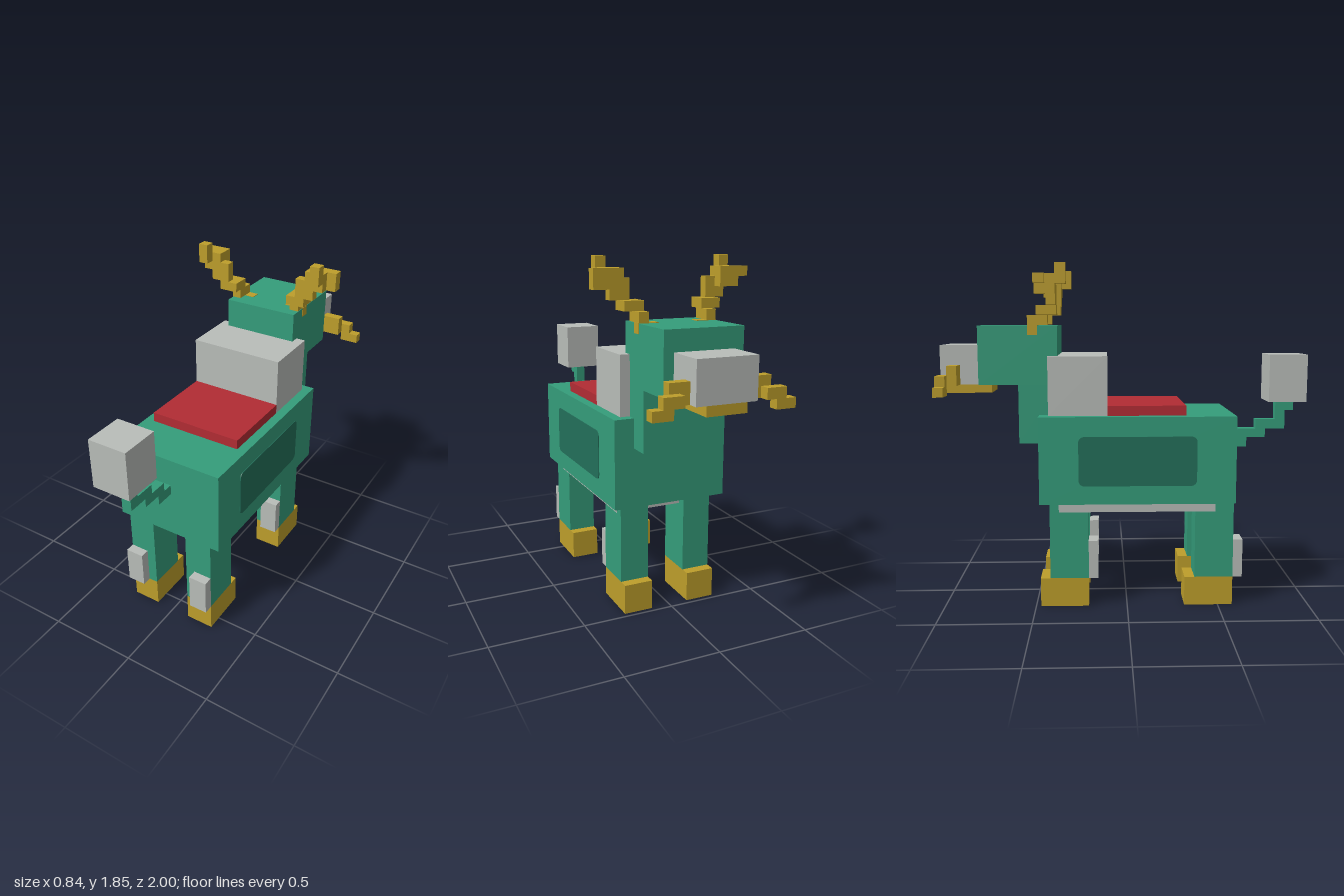
import * as THREE from 'three';

const mat = (name, color) => {
  const m = new THREE.MeshStandardMaterial({ color });
  m.name = name;
  return m;
};

export function createModel() {
  const green = mat('green hide', 0x359d7b);
  const darkGreen = mat('dark green flank', 0x23705a);
  const grey = mat('pale grey fur', 0xb9bdb9);
  const gold = mat('gold horn', 0xbd9e2b);
  const red = mat('red saddle', 0xb22c34);
  const model = new THREE.Group();
  model.name = 'hornedBeast';

  // Box given by its lower and upper limits on each axis
  const box = (name, material, [x0, x1], [y0, y1], [z0, z1], parent = model) => {
    const mesh = new THREE.Mesh(new THREE.BoxGeometry(x1 - x0, y1 - y0, z1 - z0), material);
    mesh.position.set((x0 + x1) / 2, (y0 + y1) / 2, (z0 + z1) / 2);
    mesh.name = name;
    parent.add(mesh);
    return mesh;
  };
  const group = (name) => {
    const g = new THREE.Group();
    g.name = name;
    model.add(g);
    return g;
  };
  const mirrored = (side, [a, b]) => (side > 0 ? [a, b] : [-b, -a]);

  // Trunk, neck and head (the head points to -z)
  box('body', green, [-0.315, 0.315], [0.585, 1.055], [-0.47, 0.58]);
  box('belly', grey, [-0.263, 0.263], [0.53, 0.585], [-0.37, 0.48]);
  box('neck', green, [-0.21, 0.21], [0.9, 1.215], [-0.58, -0.37]);
  box('head', green, [-0.21, 0.21], [1.215, 1.53], [-0.79, -0.37]);
  box('snout', grey, [-0.158, 0.158], [1.215, 1.425], [-1, -0.79]);
  box('jaw', gold, [-0.105, 0.105], [1.165, 1.215], [-1, -0.735]);
  box('mane', grey, [-0.263, 0.263], [1.055, 1.37], [-0.42, -0.105]);
  box('saddle', red, [-0.263, 0.263], [1.055, 1.108], [-0.105, 0.315]);

  // Rounded flank panel outline, drawn in z and y
  const [w, h, r] = [0.315, 0.1325, 0.03];
  const outline = new THREE.Shape();
  outline.absarc(w - r, h - r, r, 0, Math.PI / 2);
  outline.absarc(-w + r, h - r, r, Math.PI / 2, Math.PI);
  outline.absarc(-w + r, -h + r, r, Math.PI, Math.PI * 1.5);
  outline.absarc(w - r, -h + r, r, Math.PI * 1.5, Math.PI * 2);
  const panelGeometry = new THREE.ExtrudeGeometry(outline, { depth: 0.004, bevelEnabled: false, curveSegments: 4 });

  // Antler steps: x, y and z limits
  const antlerSteps = [
    [[0.105, 0.212], [1.48, 1.533], [-0.527, -0.475]],
    [[0.158, 0.21], [1.533, 1.585], [-0.527, -0.42]],
    [[0.158, 0.263], [1.585, 1.635], [-0.475, -0.37]],
    [[0.21, 0.315], [1.635, 1.69], [-0.42, -0.37]],
    [[0.21, 0.368], [1.69, 1.74], [-0.42, -0.37]],
    [[0.263, 0.368], [1.74, 1.79], [-0.42, -0.37]],
    [[0.315, 0.368], [1.74, 1.845], [-0.37, -0.315]],
    [[0.263, 0.368], [1.69, 1.79], [-0.475, -0.42]],
  ];
  const whiskerSteps = [
    [[0.158, 0.263], [1.215, 1.32], [-0.947, -0.895]],
    [[0.21, 0.315], [1.215, 1.27], [-1, -0.947]],
    [[0.263, 0.368], [1.165, 1.215], [-1, -0.947]],
  ];

  for (const side of [1, -1]) {
    const label = side > 0 ? 'left' : 'right';

    const panel = new THREE.Mesh(panelGeometry, darkGreen);
    panel.name = label + 'FlankPanel';
    panel.rotation.y = side * Math.PI / 2;
    panel.position.set(side * 0.315, 0.8175, 0.055);
    model.add(panel);

    const antler = group(label + 'Antler');
    antlerSteps.forEach(([x, y, z]) => box('antlerStep', gold, mirrored(side, x), y, z, antler));
    // The outer tip is shorter on one side
    box('antlerTip', gold, mirrored(side, [0.368, 0.42]), [side > 0 ? 1.69 : 1.74, 1.79], [-0.475, -0.42], antler);

    const whisker = group(label + 'Whisker');
    whiskerSteps.forEach(([x, y, z]) => box('whiskerStep', gold, mirrored(side, x), y, z, whisker));

    // Legs with hooves and fur tufts behind; back is the rear face of each leg
    for (const [end, back, hoofFront] of [['Rear', 0.58, 0.315], ['Front', -0.21, -0.473]]) {
      const leg = group(label + end + 'Leg');
      const x = mirrored(side, [0.105, 0.262]);
      box('leg', green, x, [0.16, 0.585], [back - 0.21, back], leg);
      box('hoof', gold, x, [0, 0.16], [hoofFront, back], leg);
      box('legTuft', grey, mirrored(side, [0.158, 0.262]), [0.16, 0.37], [back, back + 0.052], leg);
    }
  }

  // Stepped tail with a fur block at the end
  const tail = group('tail');
  for (const [y, z] of [
    [[0.845, 0.9], [0.58, 0.685]],
    [[0.9, 0.95], [0.635, 0.79]],
    [[0.95, 1.003], [0.735, 0.9]],
    [[1.003, 1.055], [0.845, 0.9]],
    [[1.055, 1.108], [0.845, 0.947]],
  ]) box('tailStep', green, [-0.026, 0.026], y, z, tail);
  box('tailTuft', grey, [-0.105, 0.105], [1.108, 1.37], [0.79, 1], tail);

  return model;
}
